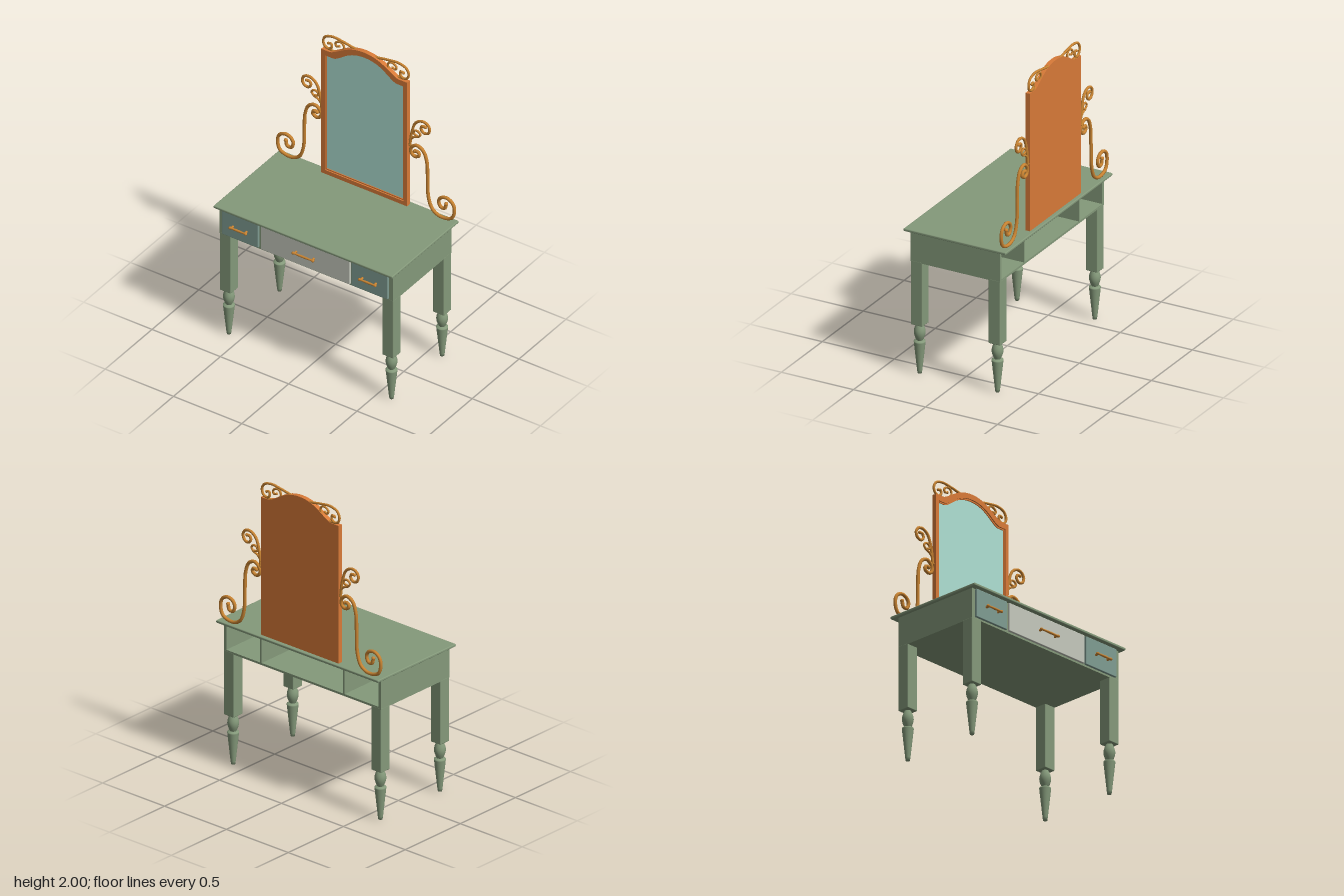
import * as THREE from 'three';
import { RoundedBoxGeometry } from 'three/addons/geometries/RoundedBoxGeometry.js';

const mat = (color, side = THREE.FrontSide) => new THREE.MeshStandardMaterial({ color, side });
const green = mat(0x84997a), wood = mat(0xd87a38), brass = mat(0xc98432);
const teal = mat(0x7f9c92), cream = mat(0xc4c8bc), glass = mat(0xaedfd3);

export function createModel() {
  const root = new THREE.Group();
  root.name = 'dressingTable';

  const add = (name, geo, material, x = 0, y = 0, z = 0, parent = root) => {
    const m = new THREE.Mesh(geo, material);
    m.name = name;
    m.position.set(x, y, z);
    parent.add(m);
    return m;
  };
  // box given by its min and max corners
  const box = (name, material, x0, x1, y0, y1, z0, z1) =>
    add(name, new THREE.BoxGeometry(x1 - x0, y1 - y0, z1 - z0), material,
      (x0 + x1) / 2, (y0 + y1) / 2, (z0 + z1) / 2);

  // table top with softened edges
  add('tableTop', new RoundedBoxGeometry(1.31, 0.018, 0.71, 2, 0.006), green, 0, 0.96, -0.005);

  // drawer case, open at the back
  box('caseFloor', green, -0.635, 0.635, 0.752, 0.766, -0.31, 0.31);
  box('caseFront', green, -0.62, 0.62, 0.766, 0.952, 0.295, 0.31);
  for (const s of [-1, 1]) {
    const a = s * 0.635, b = s * 0.615;
    box('caseSide', green, Math.min(a, b), Math.max(a, b), 0.766, 0.952, -0.31, 0.31);
    box('caseDivider', green, s * 0.335 - 0.006, s * 0.335 + 0.006, 0.766, 0.952, -0.31, 0.3);
  }

  // drawer fronts with bar handles
  const drawer = (x, width, material, handleWidth) => {
    const g = new THREE.Group();
    g.name = 'drawer';
    g.position.set(x, 0.857, 0.316);
    root.add(g);
    add('drawerFront', new RoundedBoxGeometry(width, 0.186, 0.018, 2, 0.004), material, 0, 0, 0, g);
    const h = handleWidth / 2;
    const profile = [[0, -h], [0.008, -h + 0.004], [0.01, -h + 0.012], [0.006, -h + 0.024],
      [0.008, 0], [0.006, h - 0.024], [0.01, h - 0.012], [0.008, h - 0.004], [0, h]];
    const bar = add('handleBar', new THREE.LatheGeometry(profile.map(p => new THREE.Vector2(...p)), 12),
      brass, 0, -0.005, 0.032, g);
    bar.rotation.z = Math.PI / 2;
    for (const s of [-1, 1]) {
      const post = add('handlePost', new THREE.CylinderGeometry(0.006, 0.008, 0.026, 10), brass,
        s * (h - 0.018), -0.005, 0.02, g);
      post.rotation.x = Math.PI / 2;
    }
  };
  drawer(-0.477, 0.265, teal, 0.135);
  drawer(0, 0.652, cream, 0.165);
  drawer(0.471, 0.265, teal, 0.135);

  // legs: square upper post, turned bead and tapered foot
  const beadPts = [];
  for (let i = 0; i <= 12; i++) {
    const t = i / 12;
    beadPts.push(new THREE.Vector2(0.02 + 0.016 * Math.sin(Math.PI * t), 0.222 + 0.108 * t));
  }
  const footPts = [[0, 0], [0.013, 0], [0.016, 0.02], [0.036, 0.208], [0.036, 0.216], [0.02, 0.222]]
    .map(p => new THREE.Vector2(...p));
  for (const x of [-0.595, 0.595]) for (const z of [-0.27, 0.27]) {
    const leg = new THREE.Group();
    leg.name = 'leg';
    leg.position.set(x, 0, z);
    root.add(leg);
    add('legPost', new RoundedBoxGeometry(0.081, 0.43, 0.081, 2, 0.005), green, 0, 0.545, 0, leg);
    add('legBead', new THREE.LatheGeometry(beadPts, 24), green, 0, 0, 0, leg);
    add('legFoot', new THREE.LatheGeometry(footPts, 24), green, 0, 0, 0, leg);
  }

  // arched mirror outline: straight sides, small shoulders, swept crown
  const outline = (Cls, w, bottom, side, shoulder, crown) => {
    const p = new Cls();
    p.moveTo(-w, bottom);
    p.lineTo(w, bottom);
    p.lineTo(w, side);
    p.lineTo(shoulder, side);
    p.bezierCurveTo(shoulder - 0.06, side + 0.015, 0.13, crown, 0, crown);
    p.bezierCurveTo(-0.13, crown, -shoulder + 0.06, side + 0.015, -shoulder, side);
    p.lineTo(-w, side);
    p.closePath();
    return p;
  };
  const extrude = (shape, depth) =>
    new THREE.ExtrudeGeometry(shape, { depth, bevelEnabled: false, curveSegments: 20 });
  const ring = (o, i) => {
    const s = outline(THREE.Shape, ...o);
    s.holes.push(outline(THREE.Path, ...i));
    return s;
  };
  const outer = [0.314, 0.969, 1.885, 0.25, 1.982];
  const inner = [0.288, 0.997, 1.848, 0.235, 1.947];
  const lip = [0.28, 1.005, 1.84, 0.23, 1.938];
  add('mirrorBack', extrude(outline(THREE.Shape, ...outer), 0.012), wood, 0, 0, -0.335);
  add('mirrorFrame', extrude(ring(outer, inner), 0.018), wood, 0, 0, -0.323);
  add('mirrorLip', extrude(ring(inner, lip), 0.01), wood, 0, 0, -0.323);
  add('mirrorGlass', extrude(outline(THREE.Shape, ...lip), 0.004), glass, 0, 0, -0.323);

  // scrollwork: tubes through centre-line points, mirrored to both sides
  const scrolls = {
    lowerScroll: [0.011, [[0.587, 1.085], [0.577, 1.05], [0.548, 1.048], [0.532, 1.085], [0.55, 1.118],
      [0.593, 1.13], [0.635, 1.105], [0.647, 1.056], [0.63, 1.0], [0.582, 0.978], [0.53, 0.98],
      [0.485, 1.01], [0.457, 1.088], [0.451, 1.236], [0.445, 1.342], [0.418, 1.411], [0.37, 1.432],
      [0.331, 1.4], [0.333, 1.362], [0.362, 1.347], [0.39, 1.366], [0.38, 1.388], [0.358, 1.385]]],
    upperScroll: [0.009, [[0.435, 1.592], [0.41, 1.59], [0.404, 1.565], [0.425, 1.545], [0.455, 1.555],
      [0.466, 1.588], [0.448, 1.618], [0.41, 1.626], [0.365, 1.598], [0.336, 1.52], [0.322, 1.42]]],
    sideCurl: [0.007, [[0.322, 1.455], [0.35, 1.486], [0.382, 1.5], [0.398, 1.522], [0.38, 1.54],
      [0.355, 1.535], [0.35, 1.512], [0.37, 1.505]]],
    crownScroll: [0.008, [[0.275, 1.93], [0.255, 1.935], [0.25, 1.91], [0.27, 1.892], [0.3, 1.9],
      [0.313, 1.935], [0.295, 1.972], [0.24, 1.99], [0.16, 1.982], [0.08, 1.968], [0, 1.965]]],
    crownCurl: [0.007, [[0.195, 1.938], [0.215, 1.932], [0.224, 1.95], [0.202, 1.97], [0.172, 1.968],
      [0.16, 1.94], [0.18, 1.912], [0.225, 1.888], [0.27, 1.89]]],
  };
  for (const [name, [r, pts]] of Object.entries(scrolls)) for (const s of [-1, 1]) {
    const path = new THREE.CatmullRomCurve3(pts.map(([x, y]) => new THREE.Vector3(s * x, y, -0.325)));
    add(name, new THREE.TubeGeometry(path, pts.length * 6, r, 8), brass);
    // rounded ends
    for (const [x, y] of [pts[0], pts[pts.length - 1]])
      add(name + 'Tip', new THREE.SphereGeometry(r * 1.15, 10, 8), brass, s * x, y, -0.325);
  }
  return root;
}
